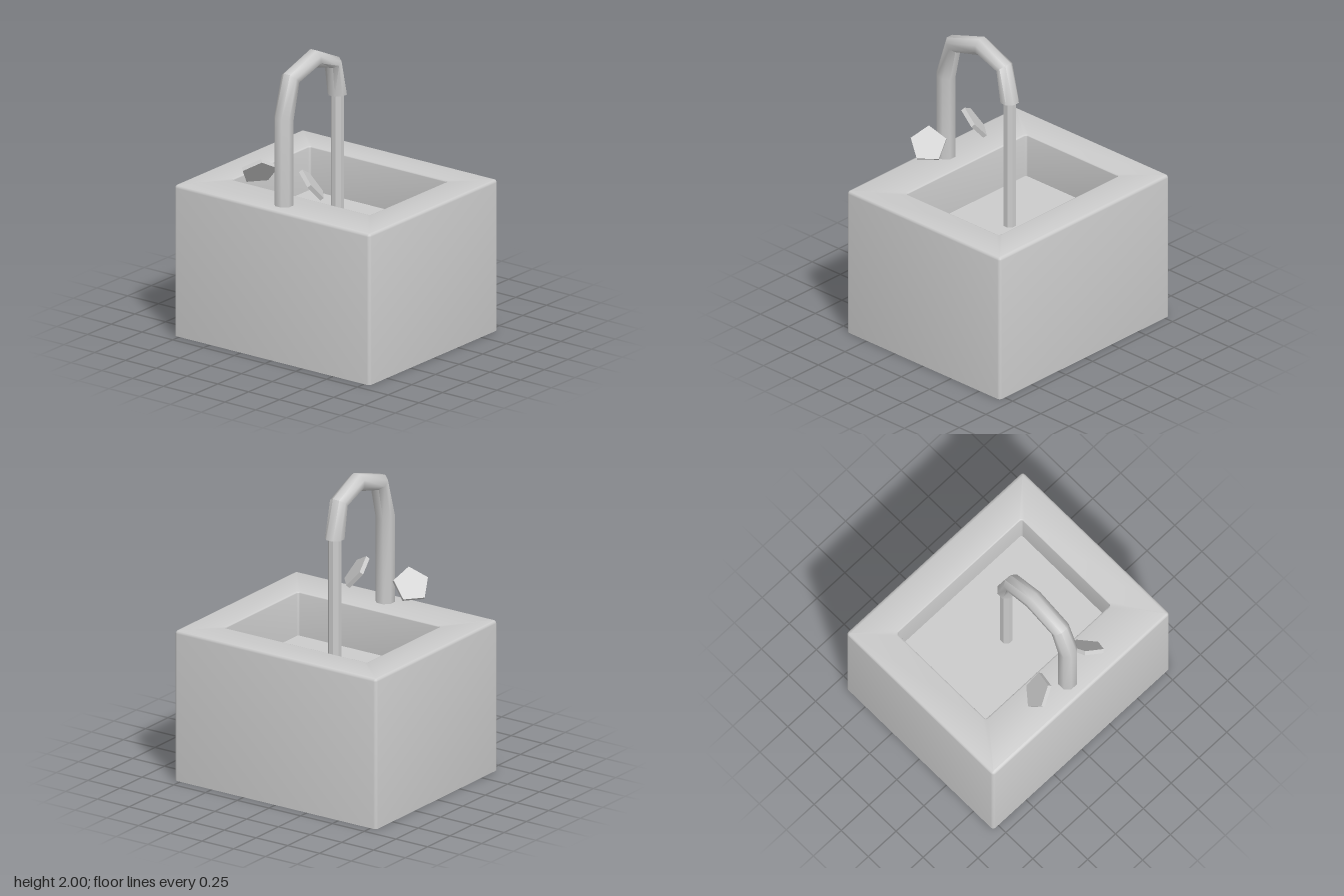
import * as THREE from 'three';
import { toCreasedNormals } from 'three/addons/utils/BufferGeometryUtils.js';

const grey = new THREE.MeshStandardMaterial({ color: 0xcccccc });
const greyFlat = new THREE.MeshStandardMaterial({ color: 0xcccccc, flatShading: true });

// Skin a series of equal-length rings and close both ends with fans
function loft(rings, crease) {
  const n = rings[0].length;
  const points = rings.flat();
  const index = [];
  for (let r = 0; r < rings.length - 1; r++) {
    for (let i = 0; i < n; i++) {
      const j = (i + 1) % n;
      const a = r * n + i, b = r * n + j, c = b + n, d = a + n;
      index.push(a, b, c, a, c, d);
    }
  }
  const cap = (ring, start, flip) => {
    const centre = new THREE.Vector3();
    ring.forEach((p) => centre.addScaledVector(p, 1 / n));
    const k = points.push(centre) - 1;
    for (let i = 0; i < n; i++) {
      const j = (i + 1) % n;
      if (flip) index.push(k, start + j, start + i);
      else index.push(k, start + i, start + j);
    }
  };
  cap(rings[0], 0, true);
  cap(rings[rings.length - 1], (rings.length - 1) * n, false);
  const g = new THREE.BufferGeometry().setFromPoints(points);
  g.setIndex(index);
  return toCreasedNormals(g, crease);
}

// Horizontal rounded rectangle, anticlockwise seen from above
function roundedRect(cx, halfX, halfZ, radius, y) {
  const ring = [];
  const corners = [[1, 1], [-1, 1], [-1, -1], [1, -1]];
  corners.forEach(([sx, sz], q) => {
    for (let k = 0; k <= 3; k++) {
      const t = (q + k / 3) * Math.PI / 2;
      ring.push(new THREE.Vector3(
        cx + sx * (halfX - radius) + radius * Math.cos(t), y,
        -sz * (halfZ - radius) - radius * Math.sin(t)));
    }
  });
  return ring;
}

// Block with softened upper edges and a sunken rectangular basin
function sinkGeometry() {
  const top = 1.03, floor = 0.73, bevel = 0.02, lip = 0.01;
  const rings = [roundedRect(0, 0.68, 0.795, 0.022, 0)];
  for (let k = 0; k <= 3; k++) {
    const t = k / 3 * Math.PI / 2, inset = bevel * (1 - Math.cos(t));
    rings.push(roundedRect(0, 0.68 - inset, 0.795 - inset, 0.022 - inset, top - bevel + bevel * Math.sin(t)));
  }
  for (let k = 0; k <= 3; k++) {
    const t = k / 3 * Math.PI / 2, inset = lip * Math.sin(t);
    rings.push(roundedRect(0.04, 0.42 - inset, 0.57 - inset, 0.025 - inset, top - lip + lip * Math.cos(t)));
  }
  rings.push(roundedRect(0.04, 0.41, 0.56, 0.015, floor));
  return loft(rings, 0.7);
}

// Octagonal gooseneck: each station gives outer x, y and inner x, y
function spoutGeometry() {
  const stations = [
    [-0.61, 1.0, -0.49, 1.0],
    [-0.61, 1.63, -0.49, 1.61],
    [-0.52, 1.91, -0.443, 1.83],
    [-0.235, 2.0, -0.235, 1.885],
    [0, 1.89, -0.065, 1.833],
    [0.072, 1.63, -0.045, 1.63],
  ];
  const s = 1 / Math.cos(Math.PI / 8);
  const rings = stations.map(([ox, oy, ix, iy]) => {
    const ring = [];
    for (let i = 0; i < 8; i++) {
      const t = (i + 0.5) * Math.PI / 4;
      const c = Math.cos(t) * s / 2;
      ring.push(new THREE.Vector3(
        (ox + ix) / 2 + (ox - ix) * c,
        (oy + iy) / 2 + (oy - iy) * c,
        0.06 * s * Math.sin(t)));
    }
    return ring;
  });
  return loft(rings, 1.0);
}

// Tilted pentagonal tap handle; side is +1 for front, -1 for back
function makeHandle(side, z) {
  const normal = new THREE.Vector3(0.5, 0.62, 0.605 * side).normalize();
  const point = new THREE.Vector3(-0.399, 0.787, -0.474 * side).normalize();
  const across = new THREE.Vector3().crossVectors(normal, point);
  const g = new THREE.CylinderGeometry(0.121, 0.121, 0.028, 5);
  g.applyMatrix4(new THREE.Matrix4().makeBasis(across, normal, point));
  const mesh = new THREE.Mesh(g, greyFlat);
  mesh.position.set(-0.515, 1.2, z);
  return mesh;
}

export function createModel() {
  const model = new THREE.Group();
  const add = (name, mesh) => {
    mesh.name = name;
    model.add(mesh);
    return mesh;
  };

  add('sinkBlock', new THREE.Mesh(sinkGeometry(), grey));
  add('spout', new THREE.Mesh(spoutGeometry(), grey));

  // Water falling from the spout to the basin floor
  const stream = add('waterStream', new THREE.Mesh(
    new THREE.CylinderGeometry(0.044, 0.044, 0.92, 8).rotateY(Math.PI / 8), greyFlat));
  stream.position.set(0.015, 1.18, 0);

  add('frontHandle', makeHandle(1, 0.202));
  add('backHandle', makeHandle(-1, -0.23));
  return model;
}
